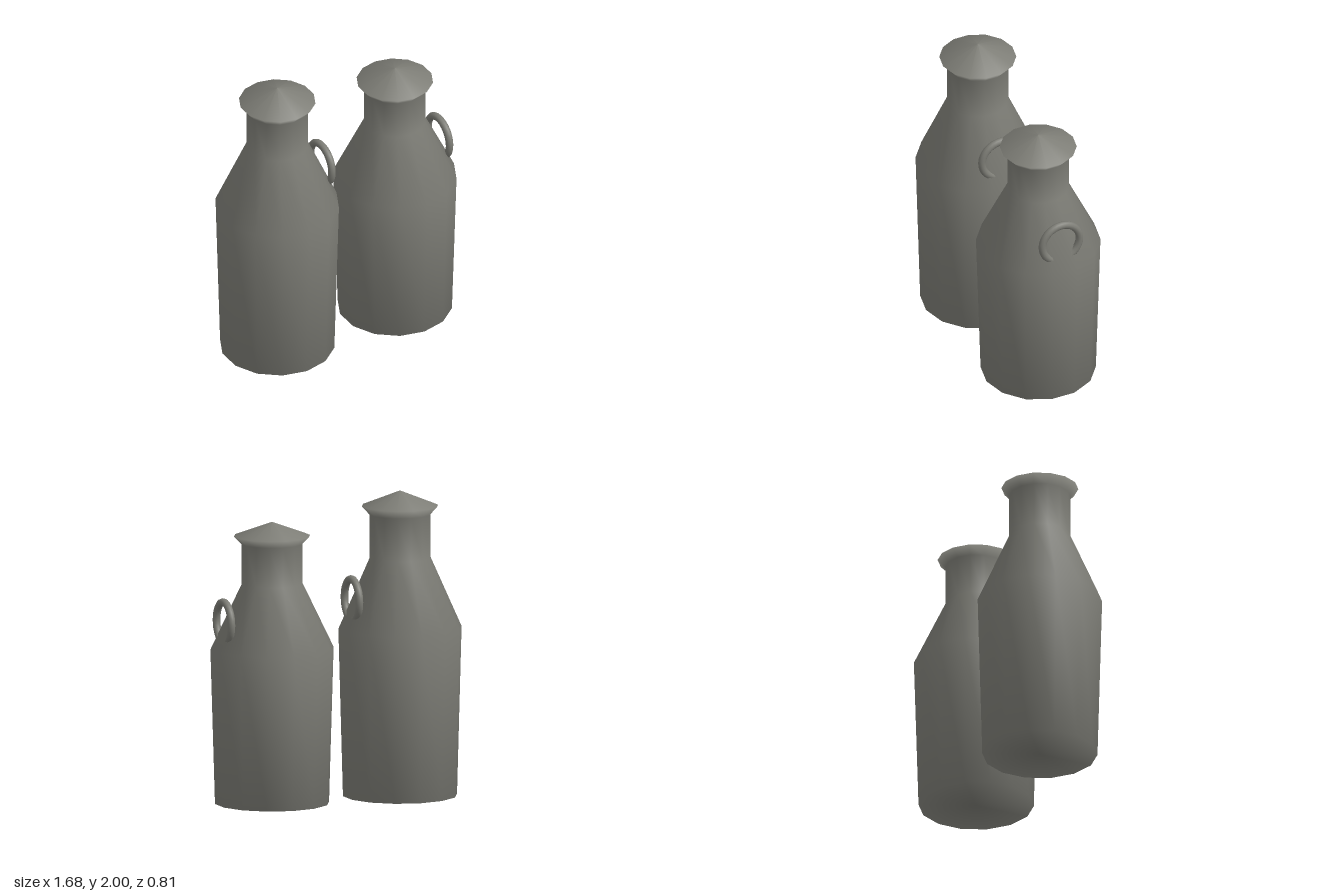
import * as THREE from 'three';

const SIDES = 14;

// Profile of the tall churn: [radius, height]
const PROFILE = [
  [0, 0], [0.374, 0], [0.404, 1.1], [0.2, 1.56], [0.2, 1.845], [0.25, 1.9], [0, 2],
];

function createChurn(name, x, heightScale, metal) {
  const churn = new THREE.Group();
  churn.name = name;
  churn.position.x = x;

  // Body, neck and lid are one smooth turned shell
  const points = PROFILE.map(([r, y]) => new THREE.Vector2(r, y * heightScale));
  const body = new THREE.Mesh(new THREE.LatheGeometry(points, SIDES), metal);
  body.name = 'churnBody';
  churn.add(body);

  // Ring handle, its lower part sunk into the shoulder
  const handle = new THREE.Mesh(new THREE.TorusGeometry(0.134, 0.025, 10, 32), metal);
  handle.name = 'ringHandle';
  handle.rotation.y = Math.PI / 2;
  handle.position.set(0.334, 1.302 * heightScale, 0);
  churn.add(handle);

  return churn;
}

export function createModel() {
  const metal = new THREE.MeshStandardMaterial({ color: 0x7d7d76 });
  metal.name = 'dull grey metal';

  const model = new THREE.Group();
  model.name = 'milkChurns';
  model.add(createChurn('tallChurn', -0.445, 1, metal));
  model.add(createChurn('shortChurn', 0.445, 0.9225, metal));
  return model;
}
